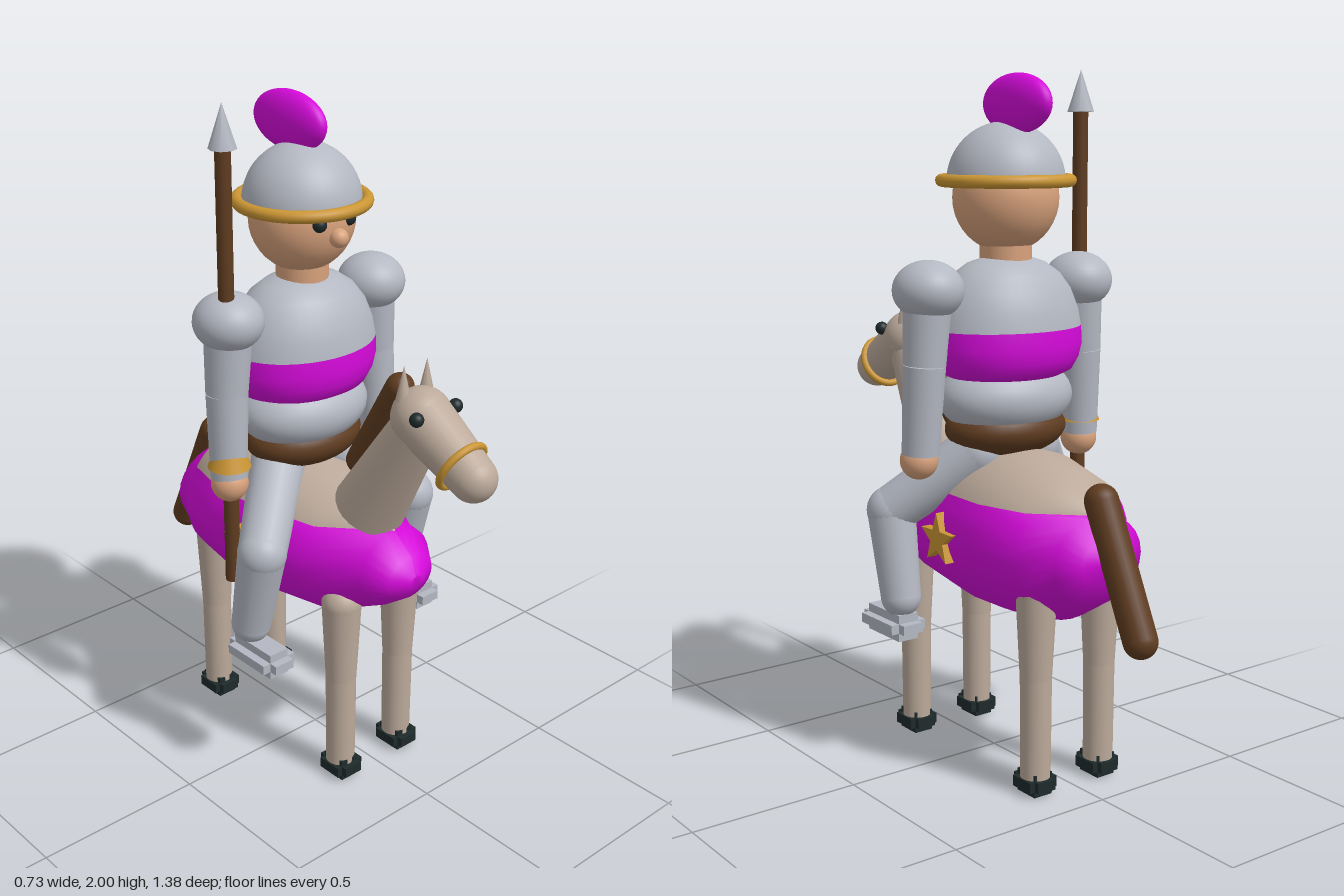
import * as THREE from 'three';

const mat = (name, color, side = THREE.FrontSide) => {
  const m = new THREE.MeshStandardMaterial({ color, side });
  m.name = name;
  return m;
};

export function createModel() {
  const steel = mat('steel', 0xb4b8c2, THREE.DoubleSide);
  const magenta = mat('magenta cloth', 0xd60adb, THREE.DoubleSide);
  const coat = mat('horse coat', 0xbcaa9b, THREE.DoubleSide);
  const brown = mat('brown', 0x5f3c20);
  const skin = mat('skin', 0xd8a27c);
  const gold = mat('gold', 0xcb9634);
  const black = mat('black', 0x1f2a2b);

  const model = new THREE.Group();
  model.name = 'mountedKnight';
  const V = (x, y, z) => new THREE.Vector3(x, y, z);
  const UP = V(0, 1, 0);

  function add(name, geometry, material, x = 0, y = 0, z = 0) {
    const mesh = new THREE.Mesh(geometry, material);
    mesh.name = name;
    mesh.position.set(x, y, z);
    model.add(mesh);
    return mesh;
  }
  // Ellipsoid with radii rx, ry, rz
  function ball(name, material, x, y, z, rx, ry = rx, rz = rx) {
    const mesh = add(name, new THREE.SphereGeometry(1, 32, 20), material, x, y, z);
    mesh.scale.set(rx, ry, rz);
    return mesh;
  }
  // Tapered cylinder from a to b
  function limb(name, material, a, b, ra, rb) {
    const mesh = add(name, new THREE.CylinderGeometry(rb, ra, a.distanceTo(b), 24), material);
    mesh.position.copy(a).add(b).multiplyScalar(0.5);
    mesh.quaternion.setFromUnitVectors(UP, b.clone().sub(a).normalize());
    return mesh;
  }
  function capsule(name, material, a, b, r) {
    const mesh = add(name, new THREE.CapsuleGeometry(r, a.distanceTo(b), 8, 24), material);
    mesh.position.copy(a).add(b).multiplyScalar(0.5);
    mesh.quaternion.setFromUnitVectors(UP, b.clone().sub(a).normalize());
  }
  // Three crossing boxes, giving a block with stepped edges
  function steppedBlock(name, material, x, y, z, w, h, d, s) {
    [[w, h - s, d - s], [w - s, h, d - s], [w - s, h - s, d]].forEach(
      size => add(name, new THREE.BoxGeometry(...size), material, x, y, z));
  }

  // Horse barrel: elliptical sections [z, top, bottom, halfWidth], split at the cloth's upper hem
  const sections = [
    [0.432, 0.71, 0.67, 0.025], [0.405, 0.76, 0.63, 0.085], [0.34, 0.815, 0.585, 0.135],
    [0.17, 0.885, 0.50, 0.2], [-0.055, 0.935, 0.467, 0.228], [-0.2, 0.937, 0.47, 0.235],
    [-0.36, 0.9, 0.488, 0.205], [-0.47, 0.805, 0.555, 0.155], [-0.51, 0.75, 0.61, 0.09],
    [-0.53, 0.71, 0.67, 0.035],
  ];
  const hem = 0.815;
  function barrelPart(isCloth) {
    const n = 24, positions = [], index = [];
    for (const [z, top, bottom, w] of sections) {
      const cy = (top + bottom) / 2, ry = (top - bottom) / 2;
      const a = Math.asin(Math.min(1, (hem - cy) / ry));
      const start = isCloth ? Math.PI - a : a;
      const sweep = isCloth ? Math.PI + 2 * a : Math.PI - 2 * a;
      for (let i = 0; i <= n; i++) {
        const t = start + sweep * i / n;
        positions.push(w * Math.cos(t), cy + ry * Math.sin(t), z);
      }
    }
    for (let s = 0; s < sections.length - 1; s++)
      for (let i = 0; i < n; i++) {
        const p = s * (n + 1) + i, q = p + n + 1;
        index.push(p, q, p + 1, p + 1, q, q + 1);
      }
    if (isCloth) {
      const last = (sections.length - 1) * (n + 1);
      for (let i = 1; i < n; i++) index.push(0, i, i + 1, last, last + i + 1, last + i);
    }
    const g = new THREE.BufferGeometry();
    g.setAttribute('position', new THREE.Float32BufferAttribute(positions, 3));
    g.setIndex(index);
    g.computeVertexNormals();
    return g;
  }
  add('horseBack', barrelPart(false), coat);
  add('horseCloth', barrelPart(true), magenta);

  // Horse neck, head, mane and tail
  limb('horseNeck', coat, V(0, 0.855, 0.235), V(0, 1.19, 0.435), 0.105, 0.07);
  const poll = V(0, 1.195, 0.43), muzzle = V(0, 1.083, 0.625);
  ball('horsePoll', coat, 0, poll.y, poll.z, 0.085);
  limb('horseHead', coat, poll, muzzle, 0.085, 0.065);
  ball('horseMuzzle', coat, 0, muzzle.y, muzzle.z, 0.065);
  capsule('mane', brown, V(0, 1.255, 0.345), V(0, 0.985, 0.192), 0.04);
  capsule('tail', brown, V(0, 0.848, -0.48), V(0, 0.498, -0.643), 0.048);
  const bridle = add('bridleRing', new THREE.TorusGeometry(0.074, 0.011, 12, 40), gold, 0, 1.103, 0.581);
  bridle.quaternion.setFromUnitVectors(V(0, 0, 1), V(0, -0.45, 0.89).normalize());

  // Shoulder to knee profile of the rider's chest, split by the sash
  const chestPart = (name, material, profile) => {
    const pts = profile.map(([r, y]) => new THREE.Vector2(r, y));
    add(name, new THREE.LatheGeometry(pts, 40), material, 0, 0, -0.057).scale.z = 0.78;
  };
  ball('saddle', brown, 0, 0.99, -0.055, 0.19, 0.085, 0.145);
  ball('belly', steel, 0, 1.08, -0.055, 0.21, 0.115, 0.16);
  chestPart('sash', magenta, [[0, 1.13], [0.17, 1.14], [0.205, 1.155], [0.226, 1.19], [0.236, 1.23], [0.233, 1.28]]);
  chestPart('breastplate', steel, [[0.233, 1.28], [0.223, 1.33], [0.2, 1.385], [0.165, 1.43], [0.12, 1.461], [0.06, 1.48], [0, 1.485]]);

  // Rider's head and helmet
  limb('neck', skin, V(0, 1.44, -0.055), V(0, 1.54, -0.055), 0.075, 0.075);
  ball('head', skin, 0, 1.642, -0.055, 0.153, 0.153, 0.147);
  ball('nose', skin, 0, 1.613, 0.097, 0.027);
  const dome = new THREE.SphereGeometry(0.168, 36, 14, 0, Math.PI * 2, 0, Math.PI / 2);
  add('helmetDome', dome, steel, 0, 1.685, -0.055);
  add('helmetBrim', new THREE.TorusGeometry(0.181, 0.018, 12, 48), gold, 0, 1.69, -0.055).rotation.x = Math.PI / 2;
  ball('plume', magenta, 0, 1.9, -0.105, 0.046, 0.083, 0.145);

  // Five-pointed badge
  const star = new THREE.Shape();
  for (let i = 0; i < 10; i++) {
    const r = i % 2 ? 0.031 : 0.077, a = Math.PI / 2 + i * Math.PI / 5;
    star[i ? 'lineTo' : 'moveTo'](r * Math.cos(a), r * Math.sin(a));
  }
  star.closePath();
  const starGeometry = new THREE.ExtrudeGeometry(star, { depth: 0.03, bevelEnabled: false });
  starGeometry.translate(0, 0, -0.015);

  for (const s of [-1, 1]) {
    // Horse details and legs
    ball('horseEye', black, s * 0.073, 1.224, 0.483, 0.02);
    add('horseEar', new THREE.ConeGeometry(0.022, 0.1, 8), coat, s * 0.043, 1.295, 0.402);
    for (const z of [0.245, -0.345]) {
      ball('horseHaunch', coat, s * 0.115, 0.585, z, 0.058);
      limb('horseUpperLeg', coat, V(s * 0.115, 0.335, z), V(s * 0.115, 0.585, z), 0.045, 0.058);
      limb('horseLowerLeg', coat, V(s * 0.115, 0.04, z), V(s * 0.115, 0.335, z), 0.043, 0.045);
      steppedBlock('hoof', black, s * 0.115, 0.0325, z + 0.003, 0.095, 0.065, 0.112, 0.034);
    }
    add('badgeStar', starGeometry, gold, s * 0.232, 0.69, -0.055).rotation.y = Math.PI / 2;

    // Rider's eye and arm
    ball('eye', black, s * 0.053, 1.655, 0.077, 0.021);
    ball('shoulder', steel, s * 0.267, 1.397, -0.055, 0.099, 0.083, 0.102);
    const elbow = V(s * 0.28, 1.19, -0.053), wrist = V(s * 0.288, 0.94, -0.042);
    limb('upperArm', steel, V(s * 0.268, 1.39, -0.055), elbow, 0.07, 0.06);
    limb('forearm', steel, elbow, wrist, 0.06, 0.053);
    ball('hand', skin, s * 0.29, 0.922, -0.037, 0.054);

    // Rider's leg and foot
    const hip = V(s * 0.1, 0.925, -0.05), knee = V(s * 0.292, 0.752, 0.105), ankle = V(s * 0.295, 0.505, 0.055);
    ball('hip', steel, hip.x, hip.y, hip.z, 0.08);
    limb('thigh', steel, hip, knee, 0.08, 0.07);
    ball('knee', steel, knee.x, knee.y, knee.z, 0.071);
    limb('shin', steel, knee, ankle, 0.07, 0.058);
    ball('ankle', steel, ankle.x, ankle.y, ankle.z, 0.058);
    steppedBlock('foot', steel, s * 0.295, 0.422, 0.098, 0.115, 0.078, 0.21, 0.05);
  }

  // Lance in the right hand
  limb('lanceShaft', brown, V(-0.288, 0.61, -0.035), V(-0.288, 1.89, -0.035), 0.022, 0.022);
  add('lanceTip', new THREE.ConeGeometry(0.039, 0.12, 8), steel, -0.288, 1.94, -0.035);
  add('lanceGuard', new THREE.CylinderGeometry(0.042, 0.062, 0.052, 28), gold, -0.29, 1.0, -0.037);

  return model;
}
